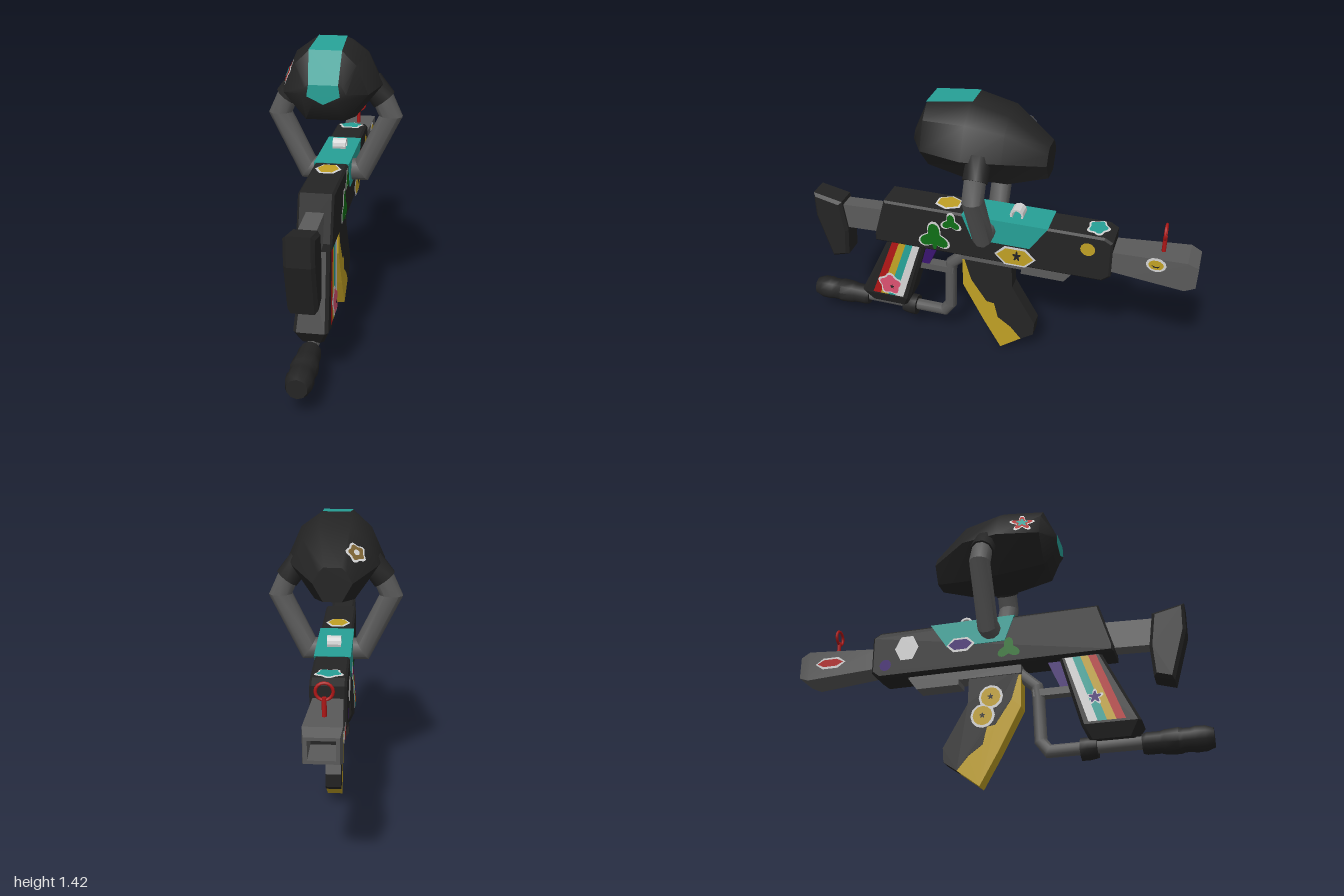
import * as THREE from 'three';
import { toCreasedNormals } from 'three/addons/utils/BufferGeometryUtils.js';

const V = (x, y, z) => new THREE.Vector3(x, y, z);
const paint = (name, color) => Object.assign(new THREE.MeshStandardMaterial({ color }), { name });

export function createModel() {
  const model = new THREE.Group();
  model.name = 'paintMarker';
  const black = paint('black', 0x242424), grey = paint('grey', 0x5a5a5a), teal = paint('teal', 0x26a096),
    yellow = paint('yellow', 0xc0a024), white = paint('white', 0xd2d2d2), red = paint('red', 0xb01616),
    green = paint('green', 0x0f6e16), purple = paint('purple', 0x3a1470), pink = paint('pink', 0xd8506f),
    brown = paint('brown', 0x7d6434);

  const add = (name, geo, mat) => {
    const mesh = new THREE.Mesh(geo, mat);
    mesh.name = name;
    model.add(mesh);
    return mesh;
  };

  // Skin over rings of equal point count, capped at both ends
  const loft = (rings, crease = 0.7) => {
    const n = rings[0].length, idx = [], last = (rings.length - 1) * n;
    for (let i = 0; i < rings.length - 1; i++) for (let j = 0; j < n; j++) {
      const a = i * n + j, b = i * n + (j + 1) % n, c = b + n, d = a + n;
      idx.push(a, d, c, a, c, b);
    }
    for (let j = 1; j < n - 1; j++) idx.push(0, j, j + 1, last, last + j + 1, last + j);
    const geo = new THREE.BufferGeometry().setFromPoints(rings.flat());
    geo.setIndex(idx);
    return toCreasedNormals(geo, crease);
  };

  // Mitred round pipe along a planar path with plane normal n
  const pipe = (pts, r, n, sides = 10) => loft(pts.map((p, i) => {
    const t1 = p.clone().sub(pts[i - 1] ?? p).normalize();
    const t2 = (pts[i + 1] ?? p).clone().sub(p).normalize();
    const t = t1.clone().add(t2).normalize();
    const cos = t.dot(t1.lengthSq() ? t1 : t2);
    const v = n.clone().cross(t).multiplyScalar(1 / cos);
    return Array.from({ length: sides }, (_, k) => {
      const a = k / sides * Math.PI * 2;
      return p.clone().addScaledVector(n, r * Math.cos(a)).addScaledVector(v, r * Math.sin(a));
    });
  }));

  // Side profile of [z, y] points given a half width across x
  const slab = (pts, half, bevel = 0) => {
    const shape = new THREE.Shape(pts.map(p => new THREE.Vector2(...p)));
    const depth = 2 * (half - bevel);
    return new THREE.ExtrudeGeometry(shape, {
      depth, bevelEnabled: bevel > 0, bevelSize: bevel, bevelThickness: bevel, bevelOffset: -bevel, bevelSegments: 1,
    }).translate(0, 0, -depth / 2).rotateY(-Math.PI / 2);
  };

  // Receiver, wrapped teal panel and top loop
  add('receiver', slab([[0.596, 0.578], [0.596, 0.615], [0.537, 0.823], [-0.565, 0.823], [-0.605, 0.8],
    [-0.605, 0.61], [-0.565, 0.578]], 0.08, 0.01), black);
  add('receiverPanel', slab([[0.13, 0.825], [-0.297, 0.825], [-0.21, 0.695], [0.08, 0.695]], 0.084), teal);
  const loop = new THREE.Shape().absarc(0, 0, 0.034, 0, Math.PI * 2);
  loop.holes.push(new THREE.Path().absarc(0, 0, 0.024, 0, Math.PI * 2));
  add('topLoop', new THREE.ExtrudeGeometry(loop, { depth: 0.066, bevelEnabled: false, curveSegments: 6 })
    .translate(0, 0, -0.033).rotateY(-Math.PI / 2).translate(0, 0.837, -0.13), white);

  // Stock
  add('stockArm', slab([[0.8, 0.6], [0.8, 0.733], [0.53, 0.745], [0.53, 0.61]], 0.04), grey);
  add('buttPlate', slab([[0.93, 0.786], [0.78, 0.754], [0.757, 0.588], [0.767, 0.44], [0.858, 0.412], [0.928, 0.65]],
    0.065, 0.015), black);

  // Hollow barrel
  const box = ([z, w, t, b]) => [V(w, t, z), V(-w, t, z), V(-w, b, z), V(w, b, z)];
  add('barrel', loft([[-0.58, 0.065, 0.743, 0.637], [-0.95, 0.08, 0.765, 0.61], [-1, 0.072, 0.742, 0.63],
    [-1, 0.056, 0.728, 0.645], [-0.85, 0.054, 0.725, 0.648]].map(box), 0.2), grey);
  add('boreEnd', new THREE.BoxGeometry(0.106, 0.076, 0.008).translate(0, 0.6865, -0.855), black);

  // Front sight ring
  add('sightRing', new THREE.TorusGeometry(0.036, 0.007, 6, 16).translate(0, 0.865, -0.83), red);
  add('sightStem', new THREE.CylinderGeometry(0.01, 0.01, 0.1, 8).translate(0, 0.79, -0.83), red);

  // Hopper with teal stripe: z, half width, top half width, top, bottom, middle
  const hopper = add('hopper', loft([
    [0.345, 0.1, 0.076, 1.25, 1.17, 1.21], [0.285, 0.19, 0.076, 1.388, 1.08, 1.2],
    [0.08, 0.232, 0.072, 1.415, 1.045, 1.2], [-0.1, 0.2, 0.07, 1.372, 1.041, 1.2], [-0.28, 0.09, 0.04, 1.232, 1.075, 1.16],
  ].map(([z, w, tw, t, b, m]) => {
    const s = m + 0.68 * (t - m), sw = Math.max(0.72 * w, tw + 0.01);
    return [V(tw, t, z), V(-tw, t, z), V(-sw, s, z), V(-w, m, z), V(-0.47 * w, b, z), V(0.47 * w, b, z), V(w, m, z), V(sw, s, z)];
  }), 0.85), black);
  const stripe = [];
  const rows = [[0.07, 1.419, 0.066], [0.288, 1.393, 0.074], [0.35, 1.251, 0.066], [0.35, 1.2, 0.074], [0.35, 1.165, 0.002]];
  for (let i = 0; i < rows.length - 1; i++) {
    const [[z, y, w], [z2, y2, w2]] = [rows[i], rows[i + 1]];
    stripe.push(V(-w, y, z), V(-w2, y2, z2), V(w2, y2, z2), V(-w, y, z), V(w2, y2, z2), V(w, y, z));
  }
  const stripeGeo = new THREE.BufferGeometry().setFromPoints(stripe);
  stripeGeo.computeVertexNormals();
  add('hopperStripe', stripeGeo, teal);

  // Feed tubes and collars either side
  for (const s of [1, -1]) {
    const side = s > 0 ? 'left' : 'right', n = V(0, 0, 1);
    add(side + 'FeedTube', pipe([V(s * 0.05, 0.762, 0.01), V(s * 0.13, 0.762, 0.01), V(s * 0.265, 1.035, 0.01),
      V(s * 0.222, 1.13, 0.01)], 0.052, n), grey);
    add(side + 'FeedCollar', pipe([V(s * 0.232, 1.112, 0.01), V(s * 0.165, 1.2, 0.01)], 0.06, n), black);
  }

  // Grip: y, rear z, front z, half width
  const gripHalf = y => 0.06 + 0.018 * (0.575 - y) / 0.34;
  add('grip', loft([[0.585, 0.535, 0.335, 0.0595], [0.235, 0.7, 0.43, 0.078], [0.17, 0.66, 0.46, 0.052]].map(([y, a, b, w]) => {
    const c = 0.015;
    return [V(w - c, y, b), V(w, y, b + c), V(w, y, a - c), V(w - c, y, a), V(c - w, y, a), V(-w, y, a - c),
      V(-w, y, b + c), V(c - w, y, b)].reverse();
  }), 0.4), black);
  [red, yellow, teal, white].forEach((mat, i) => {
    const t = 0.512 - i * 0.037, b = 0.633 - i * 0.042;
    for (const s of [1, -1]) {
      const q = (y, z) => V(s * (gripHalf(y) + 0.003), y, z);
      const p = [q(0.575, t), q(0.245, b), q(0.245, b - 0.042), q(0.575, t - 0.037)];
      const o = s > 0 ? [0, 1, 2, 0, 2, 3] : [0, 2, 1, 0, 3, 2];
      const geo = new THREE.BufferGeometry().setFromPoints(o.map(k => p[k]));
      geo.computeVertexNormals();
      add('gripStripe', geo, mat);
    }
  });

  // Trigger, guard, lower rail and air line
  const X = V(1, 0, 0), path = pts => pts.map(([z, y]) => V(0, y, z));
  add('trigger', slab([[0.375, 0.58], [0.275, 0.58], [0.335, 0.44], [0.375, 0.44]], 0.025), purple);
  add('triggerGuard', slab([[0.42, 0.45], [0.2, 0.45], [0.2, 0.415], [0.42, 0.415]], 0.026), grey);
  add('lowerRail', slab([[0.15, 0.585], [-0.42, 0.585], [-0.42, 0.57], [-0.375, 0.51], [-0.16, 0.51], [-0.16, 0.535],
    [0.15, 0.535]], 0.045), grey);
  add('airLine', pipe(path([[-0.05, 0.553], [0.125, 0.553], [0.215, 0.47], [0.222, 0.42], [0.228, 0.2], [0.265, 0.15],
    [0.75, 0.15]]), 0.03, X), grey);
  const turned = pts => toCreasedNormals(new THREE.LatheGeometry(pts.map(p => new THREE.Vector2(...p)), 10)
    .rotateX(Math.PI / 2).translate(0, 0.145, 0), 0.7);
  add('airBottle', turned([[0, 0.69], [0.046, 0.69], [0.052, 0.71], [0.052, 0.77], [0.058, 0.79], [0.062, 0.85],
    [0.056, 0.87], [0.056, 0.9], [0.061, 0.92], [0.059, 0.965], [0.045, 1], [0, 1]]), black);
  add('airLineSleeve', turned([[0, 0.415], [0.054, 0.415], [0.054, 0.45], [0.047, 0.49], [0, 0.49]]), black);

  // Magazine with yellow leading edge
  const edge = [[-0.165, 0.085], [-0.11, 0.15], [-0.04, 0.2], [-0.02, 0.285], [0.02, 0.29], [0.1, 0.41], [0.135, 0.53]];
  add('magazineBody', slab([...edge, [0.13, 0.56], [-0.11, 0.56], [-0.115, 0.41], [-0.235, 0.2], [-0.23, 0.13]], 0.038), black);
  add('magazineEdge', slab([...edge, [0.147, 0.53], [0.145, 0.37], [0.035, 0.16], [-0.055, 0.003]], 0.037), yellow);

  // Stickers: flat outlines set on a surface
  const polar = (f, n = 30) => Array.from({ length: n }, (_, k) => {
    const a = k / n * Math.PI * 2;
    return new THREE.Vector2(Math.cos(a), Math.sin(a)).multiplyScalar(f(a));
  });
  const lobes = (n, amp) => polar(a => 1 - amp + amp * Math.cos(n * (a - Math.PI / 2)));
  const disc = polar(() => 1, 12), hex = polar(() => 1, 6), clover = lobes(3, 0.28), flower = lobes(5, 0.12), star = lobes(5, 0.28);
  const decal = (name, mat, pts, pos, normal, w, h = w, lift = 0.003) => {
    const mesh = add(name, new THREE.ShapeGeometry(new THREE.Shape(pts)).scale(w, h, 1), mat);
    mesh.position.copy(pos).addScaledVector(normal, lift);
    mesh.lookAt(mesh.position.clone().add(normal));
  };
  const badge = (name, mat, pts, pos, normal, w, h = w) => {
    decal(name + 'Border', white, pts, pos, normal, w + 0.012, h + 0.012, 0.003);
    decal(name, mat, pts, pos, normal, w, h, 0.006);
  };
  const L = V(1, 0, 0), R = V(-1, 0, 0), U = V(0, 1, 0);

  // Left side stickers
  badge('largeClover', green, clover, V(0.08, 0.665, 0.275), L, 0.08);
  badge('smallClover', green, clover, V(0.08, 0.765, 0.185), L, 0.048);
  decal('cloverStem', green, disc, V(0.08, 0.625, 0.272), L, 0.012, 0.03, 0.007);
  badge('yellowSticker', yellow, hex, V(0.084, 0.637, -0.14), L, 0.092, 0.05);
  decal('yellowStickerMark', black, star, V(0.084, 0.645, -0.15), L, 0.022, 0.03, 0.009);
  decal('roundSticker', yellow, disc, V(0.08, 0.75, -0.49), L, 0.036);
  badge('barrelSmiley', yellow, disc, V(0.076, 0.728, -0.81), V(0.999, 0.02, 0.04).normalize(), 0.036, 0.026);
  decal('smile', black, [[-1, 0.4], [-0.5, -0.4], [0.5, -0.4], [1, 0.4], [0, -0.1]].map(p => new THREE.Vector2(...p)),
    V(0.076, 0.722, -0.81), L, 0.02, 0.015, 0.009);
  const tilt = V(1, 0.053, 0).normalize();
  badge('pinkSticker', pink, flower, V(0.078, 0.315, 0.53), tilt, 0.06);
  decal('pinkStickerMark', black, star, V(0.078, 0.305, 0.52), tilt, 0.012, 0.012, 0.009);

  // Right side stickers
  badge('paleSticker', white, hex, V(-0.08, 0.72, -0.42), R, 0.05, 0.06);
  decal('purpleSticker', purple, disc, V(-0.08, 0.64, -0.53), R, 0.03);
  badge('panelSticker', purple, hex, V(-0.084, 0.7, -0.14), R, 0.06, 0.03);
  decal('greenSticker', green, clover, V(-0.08, 0.65, 0.1), R, 0.06);
  badge('barrelSticker', red, hex, V(-0.079, 0.69, -0.83), R, 0.07, 0.022);
  for (const [y, z] of [[0.43, 0.0], [0.34, -0.04]]) {
    badge('magazineSmiley', yellow, disc, V(-0.038, y, z), R, 0.048);
    decal('smileyMark', black, star, V(-0.038, y, z), R, 0.015, 0.015, 0.009);
  }
  badge('gripSticker', purple, star, V(-0.075, 0.36, 0.5), V(-1, 0.053, 0).normalize(), 0.03);

  // Top stickers
  badge('topTealSticker', teal, flower, V(0, 0.823, -0.52), U, 0.056, 0.046);
  badge('topYellowSticker', yellow, hex, V(0, 0.823, 0.22), U, 0.05, 0.06);

  // Hopper stickers, dropped onto its surface
  const onHopper = (from, dir) => new THREE.Raycaster(from, dir).intersectObject(hopper)[0];
  const a = onHopper(V(-1, 1.27, 0.2), L), b = onHopper(V(-0.1, 2, -0.18), V(0, -1, 0));
  if (a) {
    badge('hopperStar', red, star, a.point, a.face.normal, 0.055);
    decal('hopperStarCentre', teal, star, a.point, a.face.normal, 0.032, 0.032, 0.009);
  }
  if (b) {
    badge('hopperFlower', brown, flower, b.point, b.face.normal, 0.042);
    decal('hopperFlowerCentre', white, disc, b.point, b.face.normal, 0.015, 0.015, 0.009);
  }
  return model;
}
